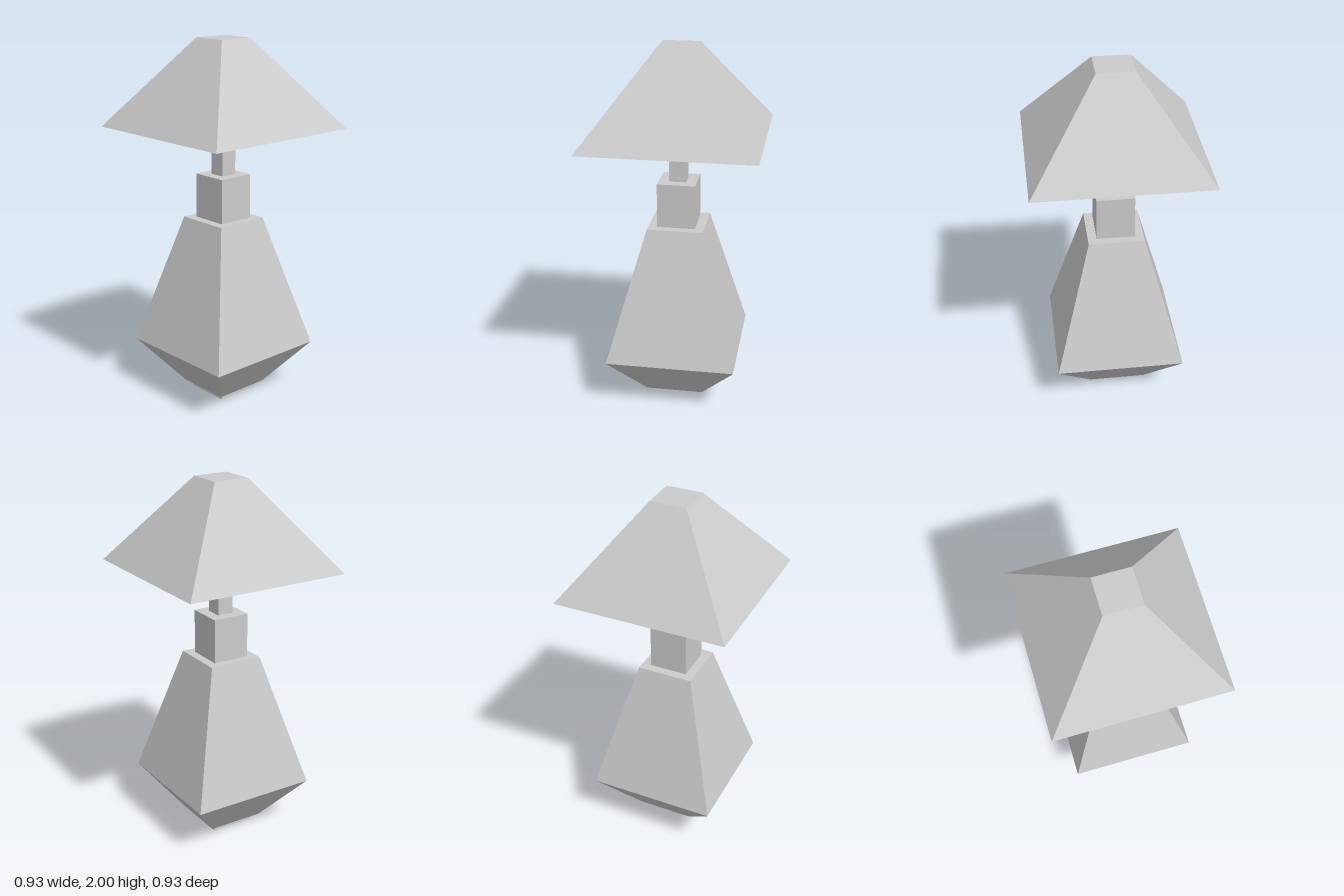
import * as THREE from 'three';

const material = new THREE.MeshStandardMaterial({ color: 0xcccccc, flatShading: true });

// Closed square-section solid from [half width, height] pairs, bottom to top
function squareSolid(name, profile) {
  const points = profile.map(([half, y]) => new THREE.Vector2(half * Math.SQRT2, y));
  points.unshift(new THREE.Vector2(0, profile[0][1]));
  points.push(new THREE.Vector2(0, profile[profile.length - 1][1]));
  const geometry = new THREE.LatheGeometry(points, 4, Math.PI / 4).toNonIndexed();
  geometry.computeVertexNormals();
  const mesh = new THREE.Mesh(geometry, material);
  mesh.name = name;
  return mesh;
}

export function createModel() {
  const lamp = new THREE.Group();
  lamp.name = 'tableLamp';
  lamp.add(
    squareSolid('foot', [[0.125, 0], [0.125, 0.037]]),
    // Faceted body, widest near the bottom
    squareSolid('body', [[0.158, 0.037], [0.353, 0.287], [0.153, 1.02]]),
    squareSolid('neck', [[0.104, 1.02], [0.104, 1.265]]),
    squareSolid('stem', [[0.046, 1.265], [0.046, 1.52]]),
    // Solid pyramid shade with a flat top
    squareSolid('shade', [[0.467, 1.52], [0.1, 2]]),
  );
  return lamp;
}
